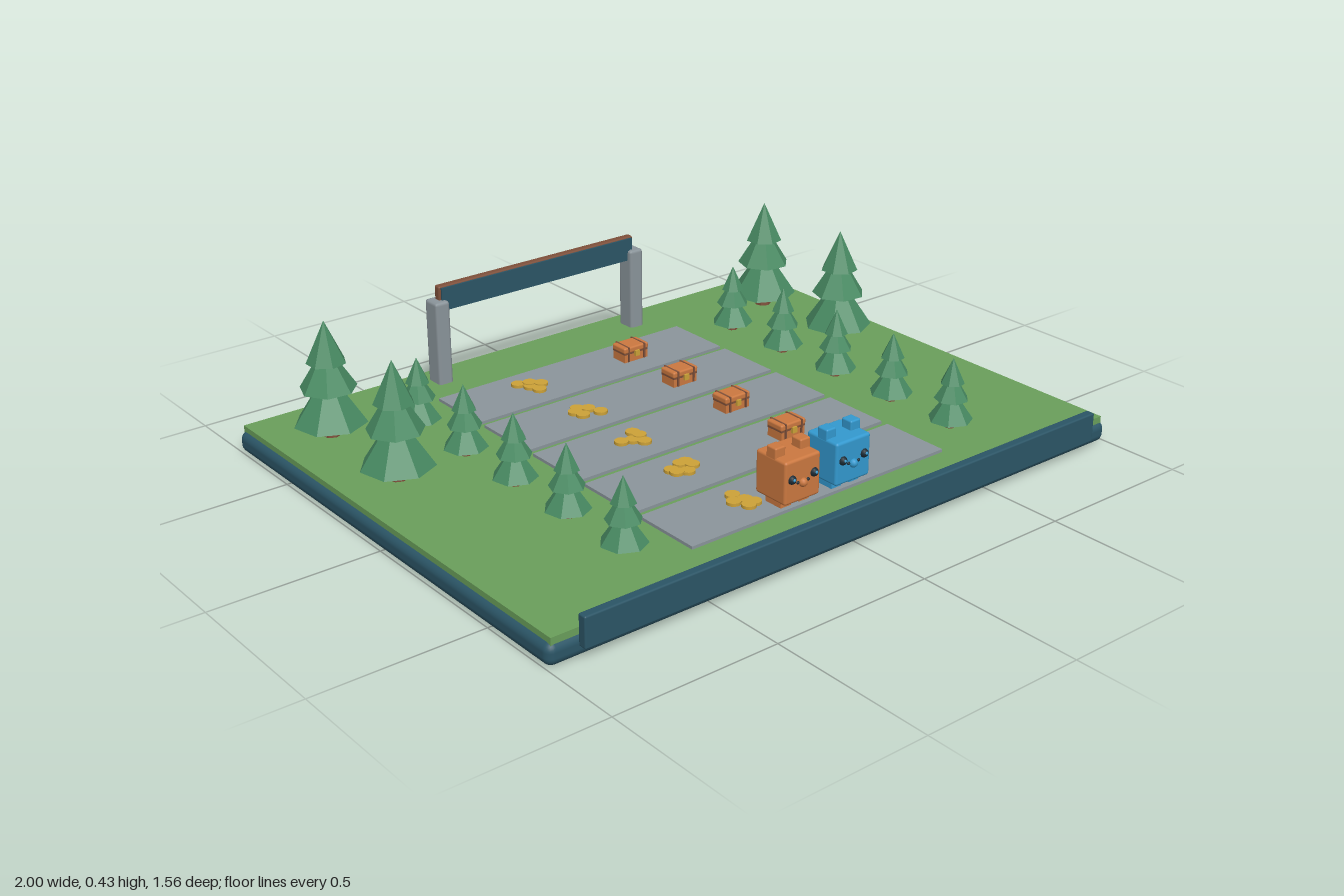
import * as THREE from 'three';
import { RoundedBoxGeometry } from 'three/addons/geometries/RoundedBoxGeometry.js';

const paint = (name, color) => {
  const m = new THREE.MeshStandardMaterial({ color });
  m.name = name;
  return m;
};

export function createModel() {
  const teal = paint('deep teal', 0x2b5566);
  const grass = paint('grass green', 0x6a9f5b);
  const stone = paint('stone grey', 0x8b959b);
  const brown = paint('wood brown', 0x7d4f3a);
  const pine = paint('pine green', 0x488a62);
  const gold = paint('gold', 0xcda238);
  const orange = paint('orange', 0xcb7840);
  const blue = paint('blue', 0x3399cf);
  const dark = paint('dark slate', 0x1c2c36);

  const model = new THREE.Group();
  model.name = 'parkBoard';

  const group = (name, x, y, z, parent = model) => {
    const g = new THREE.Group();
    g.name = name;
    g.position.set(x, y, z);
    parent.add(g);
    return g;
  };
  const add = (name, geometry, material, x, y, z, parent = model) => {
    const m = new THREE.Mesh(geometry, material);
    m.name = name;
    m.position.set(x, y, z);
    parent.add(m);
    return m;
  };
  const box = (w, h, d) => new THREE.BoxGeometry(w, h, d);
  const rounded = (w, h, d, r, s = 3) => new RoundedBoxGeometry(w, h, d, s, r);
  // Seven-sided faceted cone or trunk
  const faceted = (top, bottom, h, turn = 0) => {
    const g = new THREE.CylinderGeometry(top, bottom, h, 7).toNonIndexed();
    g.rotateY(turn);
    g.computeVertexNormals();
    return g;
  };

  // Board, lawn and front panel
  add('base', rounded(2, 0.065, 1.535, 0.025), teal, 0, 0.0325, -0.0125);
  add('lawn', box(1.97, 0.03, 1.515), grass, 0, 0.065, -0.0125);
  add('frontPanel', rounded(1.82, 0.09, 0.028, 0.005), teal, 0, 0.079, 0.766);

  // Trees: trunk and three tiers, [radius, bottom, top] above the lawn
  const tiers = [[0.107, 0.04, 0.2], [0.083, 0.145, 0.28], [0.058, 0.225, 0.35]];
  const trunkShape = faceted(0.022, 0.027, 0.06);
  const tierShapes = tiers.map(([r, a, b], i) => faceted(0, r, b - a, i * 0.35));
  const addTree = (x, z, size) => {
    const tree = group('tree', x, 0.08, z);
    tree.scale.setScalar(size);
    add('trunk', trunkShape, brown, 0, 0.03, 0, tree);
    tiers.forEach(([, a, b], i) => add('foliage', tierShapes[i], pine, 0, (a + b) / 2, 0, tree));
  };
  for (const side of [-1, 1]) {
    addTree(side * 0.818, -0.557, 1);
    addTree(side * 0.818, -0.197, 1);
  }

  // Coin offsets in each lane, x then z
  const coins = [
    [-0.03, -0.037, 0, -0.02, -0.01, 0, 0.025, 0.005, 0, 0.032],
    [0.003, -0.025, -0.02, -0.003, 0.03, -0.005, -0.012, 0.025, 0.046, 0.033],
    [0.03, -0.036, 0.03, -0.005, 0, 0.005, -0.037, 0, 0.02, 0.032],
    [-0.037, -0.018, 0.003, -0.03, 0.027, -0.035, 0.027, -0.005, -0.005, 0.015, -0.037, 0.006],
    [-0.005, -0.04, -0.032, -0.003, 0.005, 0, -0.012, 0.036, 0.016, 0.025],
  ];
  const coinShape = new THREE.CylinderGeometry(0.021, 0.021, 0.009, 12);
  const slabShape = box(0.906, 0.02, 0.217);

  // Five lanes with a slab, coins, a chest and flanking trees
  coins.forEach((spots, i) => {
    const z = -0.451 + i * 0.241;
    const lane = group('lane', 0, 0.089, z);
    add('slab', slabShape, stone, -0.002, -0.01, 0, lane);
    for (let k = 0; k < spots.length; k += 2) {
      add('coin', coinShape, gold, -0.19 + spots[k], 0.0045 + (k % 4) * 0.0015, spots[k + 1], lane);
    }
    const chest = group('chest', 0.178, 0, 0, lane);
    add('chestBody', box(0.088, 0.028, 0.058), orange, 0, 0.014, 0, chest);
    add('chestSeam', box(0.09, 0.005, 0.06), brown, 0, 0.028, 0, chest);
    add('chestLid', rounded(0.094, 0.02, 0.064, 0.006, 2), orange, 0, 0.039, 0, chest);
    for (const s of [-1, 1]) {
      add('chestStrap', box(0.005, 0.048, 0.068), brown, s * 0.03, 0.026, 0, chest);
    }
    add('chestLatch', box(0.016, 0.018, 0.008), gold, 0, 0.026, 0.034, chest);
    for (const s of [-1, 1]) addTree(s * 0.592, z + 0.003, 0.61);
  });

  // Rear gate
  const gate = group('gate', 0, 0, -0.687);
  for (const s of [-1, 1]) {
    add('gatePost', rounded(0.05, 0.275, 0.065, 0.01, 1), stone, s * 0.365, 0.2045, 0, gate);
  }
  add('gateBeam', rounded(0.73, 0.08, 0.025, 0.006, 2), brown, 0, 0.345, -0.002, gate);
  add('gateSign', box(0.715, 0.072, 0.006), teal, 0, 0.344, 0.013, gate);

  // Two block animals side by side
  const eyeShape = new THREE.SphereGeometry(0.013, 12, 8);
  const glintShape = new THREE.SphereGeometry(0.005, 8, 6);
  const addAnimal = (x, coat) => {
    const animal = group('blockAnimal', x, 0.089, 0.577);
    add('body', rounded(0.125, 0.126, 0.118, 0.008), coat, 0, 0.083, 0, animal);
    for (const s of [-1, 1]) {
      add('ear', rounded(0.036, 0.04, 0.038, 0.005, 2), coat, s * 0.044, 0.153, 0, animal);
      add('foot', box(0.036, 0.024, 0.06), coat, s * 0.032, 0.012, 0, animal);
      add('eye', eyeShape, dark, s * 0.039, 0.092, 0.058, animal);
      add('eyeGlint', glintShape, blue, s * 0.039, 0.094, 0.068, animal);
    }
    add('nose', eyeShape, coat, 0, 0.074, 0.059, animal);
    for (const s of [-1, 1]) add('nostril', glintShape, dark, s * 0.018, 0.078, 0.059, animal);
  };
  addAnimal(-0.092, orange);
  addAnimal(0.09, blue);

  return model;
}
